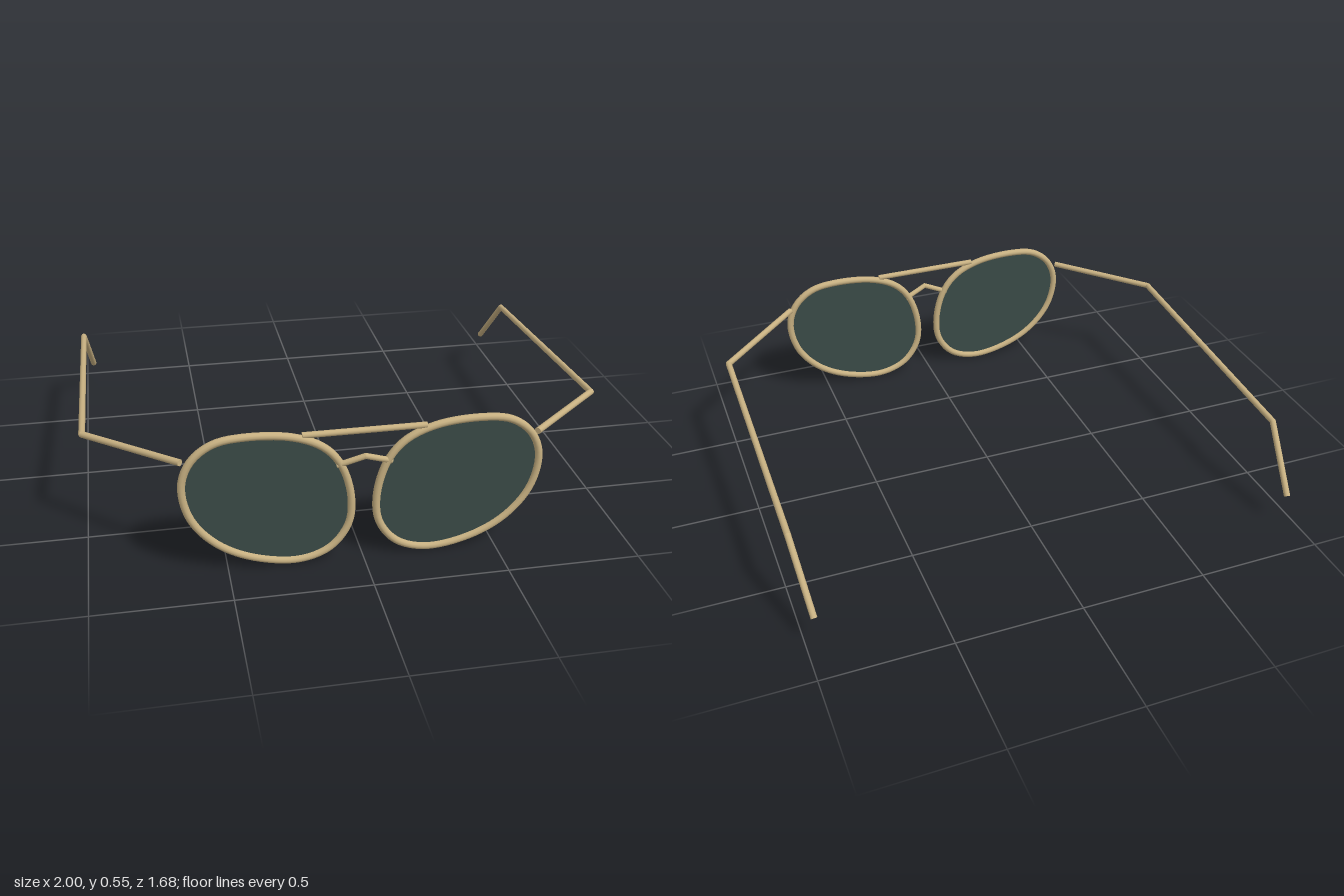
import * as THREE from 'three';

const V = (x, y, z) => new THREE.Vector3(x, y, z);

// Round rod along a polyline, with rounded joints at its bends
function rod(points, radius, material, name) {
  const group = new THREE.Group();
  group.name = name;
  points.forEach((p, i) => {
    if (i === 0) return;
    const a = points[i - 1];
    const dir = p.clone().sub(a);
    const bar = new THREE.Mesh(new THREE.CylinderGeometry(radius, radius, dir.length(), 12), material);
    bar.name = name + 'Segment';
    bar.position.copy(a).add(p).multiplyScalar(0.5);
    bar.quaternion.setFromUnitVectors(V(0, 1, 0), dir.normalize());
    group.add(bar);
    if (i < points.length - 1) {
      const joint = new THREE.Mesh(new THREE.SphereGeometry(radius, 12, 8), material);
      joint.name = name + 'Joint';
      joint.position.copy(p);
      group.add(joint);
    }
  });
  return group;
}

export function createModel() {
  const model = new THREE.Group();
  model.name = 'sunglasses';
  const gold = new THREE.MeshStandardMaterial({ color: 0xc8b182 });
  gold.name = 'pale gold';
  const glass = new THREE.MeshStandardMaterial({ color: 0x3a4a47, side: THREE.DoubleSide });
  glass.name = 'dark green glass';

  const frontZ = 0.808;
  // Teardrop outline of the left rim
  const outline = [
    [0.435, 0.541], [0.54, 0.523], [0.616, 0.464], [0.652, 0.37], [0.627, 0.235],
    [0.54, 0.123], [0.41, 0.05], [0.24, 0.021], [0.125, 0.06], [0.058, 0.15],
    [0.047, 0.26], [0.083, 0.395], [0.147, 0.475], [0.26, 0.526],
  ];

  for (const [side, label] of [[1, 'left'], [-1, 'right']]) {
    // Rim and lens
    const curve = new THREE.CatmullRomCurve3(outline.map(([x, y]) => V(side * x, y, frontZ)), true);
    const rim = new THREE.Mesh(new THREE.TubeGeometry(curve, 80, 0.0145, 10, true), gold);
    rim.name = label + 'Rim';
    const shape = new THREE.Shape(curve.getPoints(80).slice(0, -1).map((p) => new THREE.Vector2(p.x, p.y)));
    const lens = new THREE.Mesh(new THREE.ShapeGeometry(shape), glass);
    lens.name = label + 'Lens';
    lens.position.z = frontZ;
    model.add(rim, lens);

    // Temple arm: outward hinge, long arm, bent ear tip
    model.add(rod([
      V(side * 0.65, 0.452, 0.785),
      V(side * 0.987, 0.43, 0.467),
      V(side * 0.987, 0.36, -0.63),
      V(side * 0.961, 0.135, -0.832),
    ], 0.0125, gold, label + 'Temple'));
  }

  // Straight brow bar and peaked nose bridge
  model.add(rod([V(-0.225, 0.53, frontZ), V(0.225, 0.53, frontZ)], 0.0115, gold, 'browBar'));
  model.add(rod([V(-0.1, 0.398, frontZ), V(0, 0.437, 0.828), V(0.1, 0.398, frontZ)], 0.011, gold, 'noseBridge'));

  return model;
}
